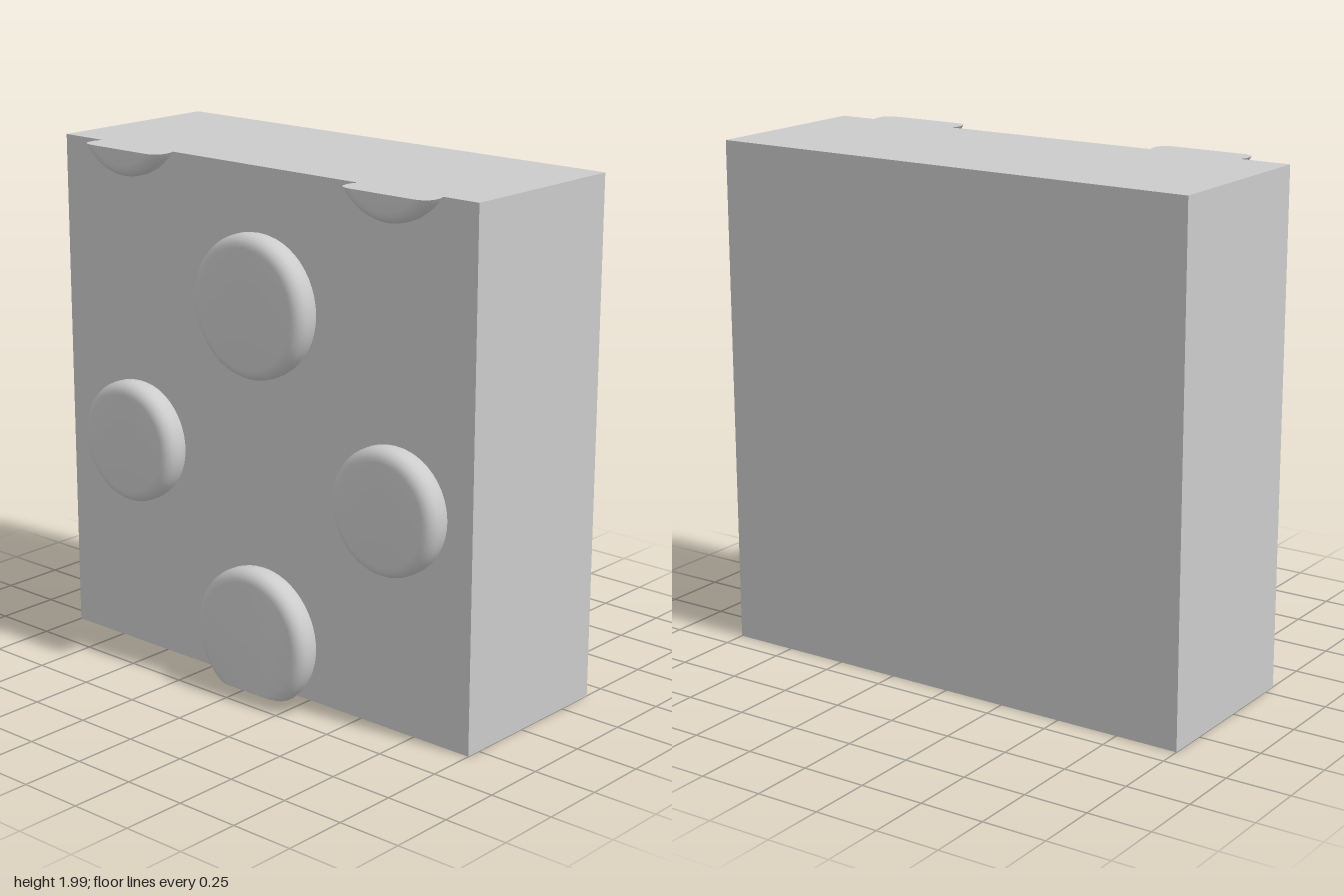
import * as THREE from 'three';
import { toCreasedNormals } from 'three/addons/utils/BufferGeometryUtils.js';

const HEIGHT = 1.99, BACK = -0.41, FACE = 0.31, TIP = 0.41;
const ROUND = 0.045, SEGMENTS = 48;

// Outline of a stud of radius r as [radius, z], from its base to its rounded rim
function studProfile(r) {
  const profile = [[r - 0.012, FACE - 0.005], [r - 0.004, FACE + 0.012], [r, FACE + 0.03]];
  for (let i = 0; i <= 5; i++) {
    const a = (i / 5) * Math.PI / 2;
    profile.push([r - ROUND + ROUND * Math.cos(a), TIP - ROUND + ROUND * Math.sin(a)]);
  }
  return profile;
}

// Round stud, sliced flat where it reaches the top (side 1) or bottom (side -1) edge
function studGeometry(cx, cy, r, side) {
  const cutY = side > 0 ? HEIGHT : 0;
  const reach = (cutY - cy) * side;
  const sliced = reach < r;
  const profile = studProfile(r);
  const positions = [], index = [];
  const row = SEGMENTS + 1;

  for (const [radius, z] of profile) {
    const half = Math.acos(THREE.MathUtils.clamp(-reach / radius, -1, 1));
    for (let i = 0; i <= SEGMENTS; i++) {
      const a = half * (2 * i / SEGMENTS - 1);
      positions.push(cx + side * radius * Math.sin(a), cy - side * radius * Math.cos(a), z);
    }
  }
  // Rounded wall, plus the flat slice
  for (let k = 0; k < profile.length - 1; k++) {
    for (let i = 0; i < (sliced ? row : SEGMENTS); i++) {
      const a = k * row + i, b = k * row + (i + 1) % row;
      index.push(a, b, b + row, a, b + row, a + row);
    }
  }
  // Flat front
  const last = (profile.length - 1) * row;
  for (let i = 1; i < SEGMENTS; i++) index.push(last, last + i, last + i + 1);

  const geometry = new THREE.BufferGeometry();
  geometry.setAttribute('position', new THREE.Float32BufferAttribute(positions, 3));
  geometry.setIndex(index);
  return toCreasedNormals(geometry, 0.7);
}

export function createModel() {
  const group = new THREE.Group();
  group.name = 'studdedPanel';
  const material = new THREE.MeshStandardMaterial({ color: 0xcccccc });

  // Thick square slab
  const slab = new THREE.Mesh(new THREE.BoxGeometry(2, HEIGHT, FACE - BACK), material);
  slab.position.set(0, HEIGHT / 2, (FACE + BACK) / 2);
  slab.name = 'slab';
  group.add(slab);

  // Staggered studs on the front face: x, y, radius, nearest edge
  const studs = [
    ['upperStud', 0.02, 1.485, 0.27, 1],
    ['lowerStud', 0.02, 0.21, 0.27, -1],
    ['rightStud', -0.613, 0.85, 0.238, 1],
    ['leftStud', 0.66, 0.85, 0.238, 1],
    ['topRightStud', -0.613, 2.122, 0.238, 1],
    ['topLeftStud', 0.66, 2.122, 0.238, 1],
  ];
  for (const [name, x, y, r, side] of studs) {
    const stud = new THREE.Mesh(studGeometry(x, y, r, side), material);
    stud.name = name;
    group.add(stud);
  }
  return group;
}
